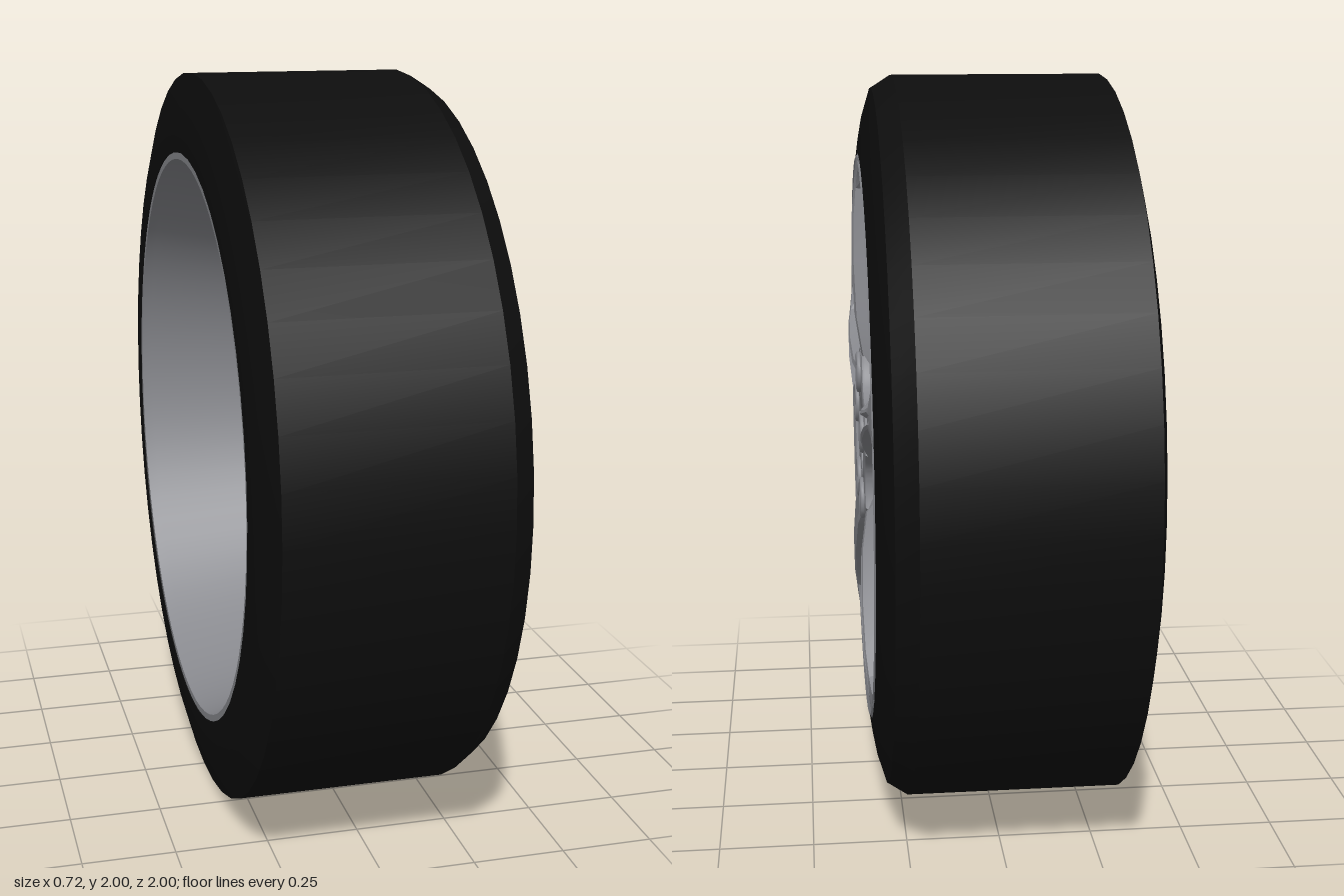
import * as THREE from 'three';
import { toCreasedNormals } from 'three/addons/utils/BufferGeometryUtils.js';

const rubber = new THREE.MeshStandardMaterial({ color: 0x0d0d0d });
rubber.name = 'black rubber';
const alloy = new THREE.MeshStandardMaterial({ color: 0x88898e });
alloy.name = 'grey alloy';
const recess = new THREE.MeshStandardMaterial({ color: 0x060606 });
recess.name = 'dark recess';

const STEP = (Math.PI * 2) / 5;

function add(parent, name, geometry, material, x = 0, y = 0, z = 0) {
  const mesh = new THREE.Mesh(geometry, material);
  mesh.name = name;
  mesh.position.set(x, y, z);
  parent.add(mesh);
  return mesh;
}

// Turned part around the z axis; profile points are [radius, z], outside going forwards
function turned(profile, segments = 64) {
  const g = new THREE.LatheGeometry(profile.map(([r, z]) => new THREE.Vector2(r, z)), segments);
  return toCreasedNormals(g.rotateX(Math.PI / 2), 0.5);
}

// Cylinder with its length along z
function rod(radius, length, sides = 16) {
  return new THREE.CylinderGeometry(radius, radius, length, sides).rotateX(Math.PI / 2);
}

// Spoke pointing along +y, lofted through grooved cross-sections
function spokeGeometry() {
  // radius, groove, inner ridge, outer ridge, flank half-widths, top z, groove depth, flank drop, bottom z
  const sections = [
    [0.19, 0.03, 0.05, 0.07, 0.15, 0.32, 0, 0.06, 0.12],
    [0.25, 0.028, 0.05, 0.068, 0.125, 0.335, 0.012, 0.07, 0.13],
    [0.35, 0.022, 0.036, 0.05, 0.088, 0.35, 0.02, 0.08, 0.15],
    [0.5, 0.014, 0.026, 0.036, 0.06, 0.355, 0.018, 0.08, 0.18],
    [0.63, 0.009, 0.018, 0.026, 0.043, 0.352, 0.012, 0.075, 0.2],
    [0.7, 0.006, 0.016, 0.026, 0.042, 0.346, 0.006, 0.06, 0.2],
    [0.745, 0.004, 0.02, 0.05, 0.07, 0.342, 0, 0.03, 0.2],
    [0.785, 0.003, 0.03, 0.09, 0.105, 0.337, 0, 0.012, 0.22],
  ];
  const positions = [];
  const index = [];
  let n = 0;
  for (const [r, g, m1, m2, w, top, d, s, zb] of sections) {
    const half = [[g, top - d], [m1, top], [m2, top - 0.004], [w, top - s], [w * 0.8, zb]];
    const loop = [...half, ...half.map(([x, z]) => [-x, z]).reverse()];
    n = loop.length;
    for (const [x, z] of loop) positions.push(x, r, z);
  }
  for (let k = 0; k < sections.length - 1; k++) {
    for (let i = 0; i < n; i++) {
      const a = k * n + i;
      const b = k * n + ((i + 1) % n);
      index.push(a, b, b + n, a, b + n, a + n);
    }
  }
  const geo = new THREE.BufferGeometry();
  geo.setAttribute('position', new THREE.Float32BufferAttribute(positions, 3));
  geo.setIndex(index);
  return toCreasedNormals(geo, 0.4);
}

// Star-shaped hub plate with a centre bore and five bolt holes
function hubGeometry() {
  const shape = new THREE.Shape();
  const at = (r, a) => [Math.cos(a) * r, Math.sin(a) * r];
  for (let i = 0; i < 5; i++) {
    const a = Math.PI / 2 + i * STEP;
    if (i === 0) shape.moveTo(...at(0.245, a - 0.27));
    shape.lineTo(...at(0.245, a + 0.27));
    shape.quadraticCurveTo(...at(0.165, a + STEP / 2), ...at(0.245, a + STEP - 0.27));
  }
  const hole = (x, y, r) => shape.holes.push(new THREE.Path().absarc(x, y, r, 0, Math.PI * 2, true));
  hole(0, 0, 0.108);
  for (let i = 0; i < 5; i++) hole(...at(0.185, Math.PI / 2 + i * STEP), 0.05);
  const geo = new THREE.ExtrudeGeometry(shape, {
    depth: 0.09, bevelSize: 0.008, bevelThickness: 0.01, bevelSegments: 2, curveSegments: 20,
  });
  return toCreasedNormals(geo.translate(0, 0, 0.237), 0.5);
}

export function createModel() {
  const model = new THREE.Group();
  model.name = 'wheel';
  const wheel = new THREE.Group();
  wheel.name = 'wheelAssembly';
  wheel.position.y = 1;
  wheel.rotation.y = Math.PI / 2; // outer face towards +x
  model.add(wheel);

  // Tyre
  add(wheel, 'tyre', turned([
    [0.785, -0.352], [0.79, -0.36], [0.83, -0.36], [0.91, -0.35], [1, -0.325], [1, 0.24],
    [0.965, 0.295], [0.9, 0.315], [0.84, 0.326], [0.79, 0.333], [0.785, 0.325],
  ], 48), rubber);

  // Rim: outer lip, stepped inner face and tapered barrel
  add(wheel, 'rim', turned([
    [0.788, -0.358], [0.788, 0.33], [0.778, 0.337], [0.755, 0.33], [0.738, 0.3], [0.722, 0.245],
    [0.705, 0.235], [0.7, 0.2], [0.675, 0.185], [0.67, 0.13], [0.69, 0.02],
    [0.765, -0.33], [0.77, -0.358], [0.788, -0.358],
  ], 72), alloy);

  // Hub plate, its flared rear web and the dark centre
  add(wheel, 'hubPlate', hubGeometry(), alloy);
  add(wheel, 'hubWeb', turned([
    [0.285, 0.05], [0.27, 0.09], [0.235, 0.18], [0.205, 0.25], [0.195, 0.29], [0.11, 0.29],
  ]), alloy);
  add(wheel, 'centreBore', rod(0.107, 0.05, 32), recess, 0, 0, 0.303);

  // Spokes with bolt seats and hexagonal bolt recesses
  const spoke = spokeGeometry();
  const collar = new THREE.TorusGeometry(0.05, 0.008, 8, 24);
  const hex = rod(0.043, 0.05, 6);
  const seat = rod(0.05, 0.04, 24);
  for (let i = 0; i < 5; i++) {
    const arm = new THREE.Group();
    arm.name = 'spokeGroup' + (i + 1);
    arm.rotation.z = i * STEP;
    wheel.add(arm);
    add(arm, 'spoke', spoke, alloy);
    add(arm, 'boltCollar', collar, alloy, 0, 0.185, 0.341);
    add(arm, 'boltSeat', seat, alloy, 0, 0.185, 0.308);
    add(arm, 'boltRecess', hex, recess, 0, 0.185, 0.309);
  }

  // Brake disc with raised mounting ring and rear hub
  add(wheel, 'brakeDisc', turned([
    [0, -0.07], [0.175, -0.07], [0.195, -0.05], [0.195, -0.006], [0.34, -0.006], [0.35, 0],
    [0.6, 0], [0.6, 0.05], [0.365, 0.05], [0.36, 0.08], [0.295, 0.08], [0.29, 0.055], [0, 0.055],
  ]), alloy);
  const bolt = rod(0.019, 0.03, 8);
  for (let i = 0; i < 5; i++) {
    const a = THREE.MathUtils.degToRad(50) + i * STEP;
    add(wheel, 'discBolt', bolt, alloy, Math.cos(a) * 0.335, Math.sin(a) * 0.335, 0.09);
  }

  // Tyre valve
  add(wheel, 'valveStem', rod(0.013, 0.09, 10), alloy, 0, -0.688, 0.225);
  add(wheel, 'valveCap', rod(0.02, 0.035, 10), alloy, 0, -0.688, 0.27);

  return model;
}
